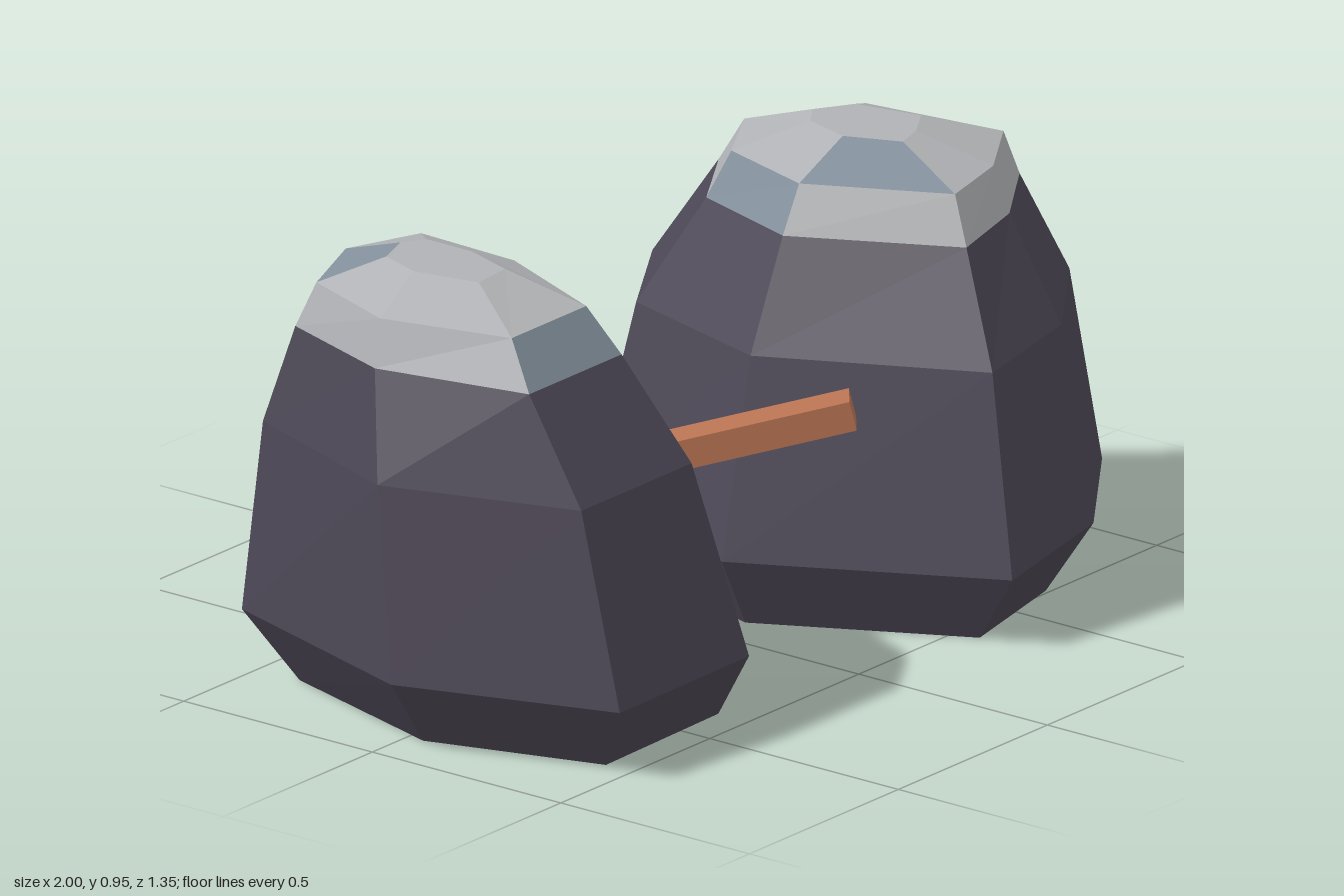
import * as THREE from 'three';

const flat = (name, color) => {
  const m = new THREE.MeshStandardMaterial({ color });
  m.name = name;
  return m;
};

// Heights of the cross-sections shared by both boulders
const HEIGHTS = [0, 0.16, 0.58, 0.8, 0.9, 0.955];

// Cross-sections as [x, z] corners, from the ground up
const LEFT_ROCK = [
  [[0.50, -0.42], [0.80, -0.18], [0.88, 0.30], [0.64, 0.49], [0.33, 0.56], [0.10, 0.12], [0.21, -0.25]],
  [[0.48, -0.53], [0.895, -0.25], [1.0, 0.355], [0.68, 0.585], [0.30, 0.67], [0.015, 0.125], [0.15, -0.335]],
  [[0.51, -0.45], [0.86, -0.21], [0.96, 0.30], [0.68, 0.50], [0.36, 0.57], [0.13, 0.11], [0.24, -0.28]],
  [[0.555, -0.31], [0.82, -0.14], [0.875, 0.235], [0.67, 0.37], [0.45, 0.43], [0.27, 0.085], [0.355, -0.185]],
  [[0.565, -0.25], [0.795, -0.11], [0.84, 0.22], [0.66, 0.335], [0.475, 0.38], [0.325, 0.085], [0.395, -0.15]],
  [[0.58, -0.08], [0.66, -0.03], [0.69, 0.12], [0.61, 0.17], [0.54, 0.19], [0.49, 0.07], [0.52, -0.04]],
];
const RIGHT_ROCK = [
  [[-0.88, 0.04], [-0.75, -0.39], [-0.45, -0.52], [-0.20, -0.42], [-0.23, 0.0], [-0.37, 0.42], [-0.76, 0.43]],
  [[-1.0, 0.05], [-0.83, -0.48], [-0.46, -0.64], [-0.14, -0.51], [-0.175, 0.0], [-0.40, 0.525], [-0.84, 0.53]],
  [[-0.97, -0.01], [-0.81, -0.44], [-0.49, -0.57], [-0.24, -0.45], [-0.27, -0.03], [-0.46, 0.42], [-0.83, 0.42]],
  [[-0.89, -0.08], [-0.79, -0.37], [-0.56, -0.46], [-0.345, -0.375], [-0.38, -0.08], [-0.505, 0.27], [-0.815, 0.27]],
  [[-0.86, -0.09], [-0.77, -0.33], [-0.57, -0.41], [-0.40, -0.345], [-0.41, -0.09], [-0.535, 0.20], [-0.785, 0.20]],
  [[-0.71, -0.12], [-0.675, -0.22], [-0.59, -0.25], [-0.54, -0.22], [-0.54, -0.10], [-0.58, 0.02], [-0.68, 0.03]],
];

// Faceted boulder; slate lists the "level,side" facets of the cap that are blue-grey
function makeRock(name, rings, slate, mats) {
  const parts = { body: [], cap: [], capPatches: [] };
  const point = (r, i) => {
    const [x, z] = rings[r][i % rings[r].length];
    return [x, HEIGHTS[r], z];
  };
  const sides = rings[0].length;
  const top = rings.length - 1;
  for (let r = 0; r < top; r++) {
    for (let i = 0; i < sides; i++) {
      const part = r < 3 ? 'body' : slate.includes(`${r},${i}`) ? 'capPatches' : 'cap';
      const a = point(r, i), b = point(r, i + 1), c = point(r + 1, i + 1), d = point(r + 1, i);
      parts[part].push(...b, ...a, ...d, ...b, ...d, ...c);
    }
  }
  // Underside and flat crown
  for (let i = 1; i < sides - 1; i++) {
    parts.body.push(...point(0, 0), ...point(0, i), ...point(0, i + 1));
    parts.cap.push(...point(top, 0), ...point(top, i + 1), ...point(top, i));
  }
  const group = new THREE.Group();
  group.name = name;
  for (const part in parts) {
    const geo = new THREE.BufferGeometry();
    geo.setAttribute('position', new THREE.Float32BufferAttribute(parts[part], 3));
    geo.computeVertexNormals();
    const mesh = new THREE.Mesh(geo, mats[part]);
    mesh.name = part;
    group.add(mesh);
  }
  return group;
}

// Square bar running between two points
function makeBar(name, from, to, mat) {
  const a = new THREE.Vector3(...from), b = new THREE.Vector3(...to);
  const mesh = new THREE.Mesh(new THREE.BoxGeometry(0.085, 0.065, a.distanceTo(b) + 0.03), mat);
  mesh.position.copy(a).lerp(b, 0.5);
  mesh.lookAt(b);
  mesh.name = name;
  return mesh;
}

export function createModel() {
  const mats = {
    body: flat('dark stone', 0x4d4856),
    cap: flat('pale grey', 0xb0b2b5),
    capPatches: flat('blue grey', 0x83909c),
  };
  const wood = flat('wood', 0xb87353);

  const model = new THREE.Group();
  model.name = 'boulders';
  model.add(makeRock('leftBoulder', LEFT_ROCK, ['3,1', '3,5', '4,4'], mats));
  model.add(makeRock('rightBoulder', RIGHT_ROCK, ['3,2', '3,5', '4,1'], mats));

  // Zigzag bars climbing between the boulders
  const path = [[-0.13, 0.065, -0.635], [0.095, 0.2, -0.36], [-0.125, 0.41, 0.03], [0.14, 0.51, 0.355]];
  for (let i = 0; i < 3; i++) {
    model.add(makeBar(['lowerBar', 'middleBar', 'upperBar'][i], path[i], path[i + 1], wood));
  }
  return model;
}
